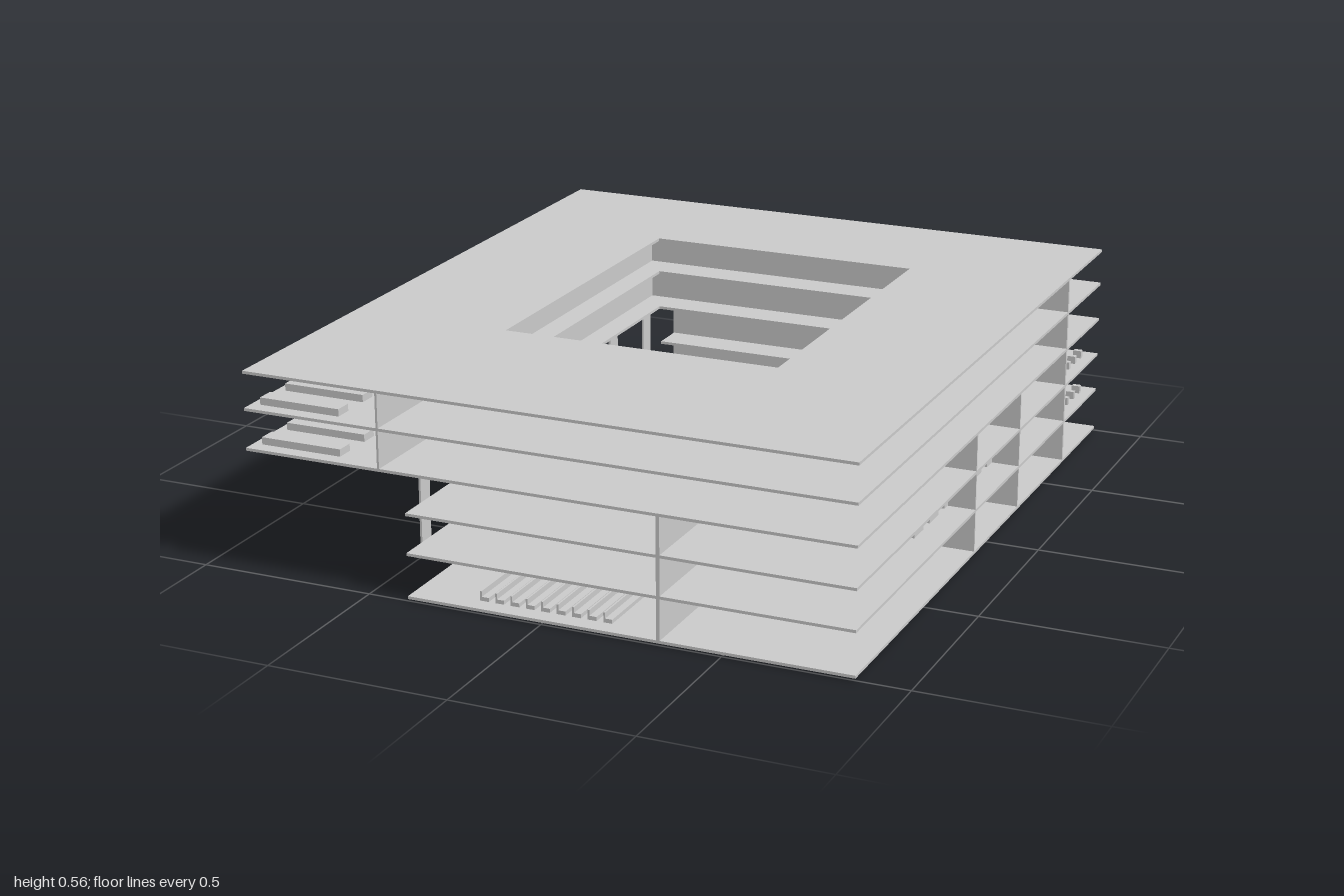
import * as THREE from 'three';

const concrete = new THREE.MeshStandardMaterial({ color: 0xcccccc, side: THREE.DoubleSide });
concrete.name = 'concrete grey';

// Storey levels (top of each slab) and slab thickness
const LEVELS = [0.013, 0.133, 0.243, 0.353, 0.463, 0.565];
const SLAB = 0.008;

function polygon(points) {
  return new THREE.Shape(points.map(([x, y]) => new THREE.Vector2(x, y)));
}

function rect(u0, v0, u1, v1) {
  return polygon([[u0, v0], [u1, v0], [u1, v1], [u0, v1]]);
}

function extrude(shape, depth) {
  return new THREE.ExtrudeGeometry(shape, { depth, bevelEnabled: false });
}

export function createModel() {
  const model = new THREE.Group();
  model.name = 'courtyardBuilding';

  function add(parent, geometry, name) {
    const mesh = new THREE.Mesh(geometry, concrete);
    mesh.name = name;
    parent.add(mesh);
    return mesh;
  }

  function group(name) {
    const g = new THREE.Group();
    g.name = name;
    model.add(g);
    return g;
  }

  // Box given by its lower and upper corners
  function box(parent, name, x0, y0, z0, x1, y1, z1) {
    const mesh = add(parent, new THREE.BoxGeometry(x1 - x0, y1 - y0, z1 - z0), name);
    mesh.position.set((x0 + x1) / 2, (y0 + y1) / 2, (z0 + z1) / 2);
  }

  // Upright wall in the u-y plane with ground-floor door openings
  function wallShape(u0, u1, y0, y1, doors = []) {
    const shape = rect(u0, y0, u1, y1);
    for (const d of doors) shape.holes.push(rect(d - 0.026, 0.014, d + 0.026, 0.073));
    return shape;
  }
  function wallAcross(parent, name, z, x0, x1, y0, y1, t, doors) {
    add(parent, extrude(wallShape(x0, x1, y0, y1, doors), t), name).position.z = z - t / 2;
  }
  function wallAlong(parent, name, x, z0, z1, y0, y1, t, doors) {
    const g = extrude(wallShape(z0, z1, y0, y1, doors), t).rotateY(-Math.PI / 2);
    add(parent, g, name).position.x = x + t / 2;
  }

  // Floor slabs: the lower three are C-shaped, the upper three are full rings
  const floors = group('floors');
  LEVELS.forEach((y, i) => {
    let shape;
    if (i < 3) {
      shape = polygon([[-0.385, -1], [0.855, -1], [0.855, 1], [-0.385, 1],
        [-0.385, 0.415], [0.405, 0.415], [0.405, -0.58], [-0.385, -0.58]]);
    } else {
      shape = rect(-0.855, -1, 0.855, 1);
      shape.holes.push(rect(-0.39, -0.58, 0.405, 0.415));
    }
    add(floors, extrude(shape, SLAB).rotateX(Math.PI / 2), i === 5 ? 'roof' : 'floorSlab').position.y = y;
  });

  // Walls of the two upper storeys
  const low = 0.01, mid = 0.35, high = 0.56;
  const upper = group('upperWalls');
  wallAlong(upper, 'outerGalleryWall', -0.46, -1, 1, mid, high, 0.006);
  wallAlong(upper, 'innerGalleryWall', 0.485, -0.68, 0.53, mid, high, 0.005);
  wallAcross(upper, 'frontGalleryWall', 0.53, -0.46, 0.485, mid, high, 0.005);
  wallAcross(upper, 'backGalleryWall', -0.68, -0.46, 0.855, mid, high, 0.01);

  // Walls of the three lower storeys
  const lower = group('lowerWalls');
  const doorsX = [-0.28, 0.195];
  const doorsZ = [0.445, 0.21, -0.027, -0.263, -0.5];
  wallAcross(lower, 'backWall', -0.68, -0.384, 0.855, low, mid, 0.01, doorsX);
  wallAcross(lower, 'frontWall', 0.53, -0.384, 0.485, low, mid, 0.006, doorsX);
  wallAlong(lower, 'sideWall', 0.485, -0.68, 0.53, low, mid, 0.006, doorsZ);
  wallAlong(lower, 'frontPartition', 0.327, 0.53, 1, low, mid, 0.01);
  for (const z of [0.11, -0.26]) wallAcross(lower, 'sidePartition', z, 0.485, 0.855, low, mid, 0.005);
  for (const x of [0.45, 0.68]) wallAlong(lower, 'backPartition', x, -1, -0.68, low, mid, 0.005);

  // Row of thin fins hanging below the gallery
  const fins = group('hangingFins');
  for (let i = 0; i < 8; i++) {
    const z = 0.763 - i * 0.233;
    box(fins, 'fin', -0.463, 0.07, z - 0.025, -0.457, mid, z + 0.025);
  }

  // Long tables in the overhanging gallery
  const tables = group('galleryTables');
  for (const y of [LEVELS[3], LEVELS[4]]) {
    for (let i = 0; i < 16; i++) {
      const z = -0.94 + i * 0.125;
      box(tables, 'longTable', -0.83, y, z - 0.025, -0.595, y + 0.02, z + 0.025);
    }
  }

  // Desks along the side rooms
  const desks = group('desks');
  for (let i = 0; i < 8; i++) {
    const z = 0.34 - i * 0.118;
    for (const x of [0.588, 0.745]) {
      box(desks, 'desk', x - 0.032, LEVELS[1], z - 0.034, x + 0.032, 0.156, z + 0.034);
    }
  }
  box(desks, 'receptionDesk', -0.33, LEVELS[0], -0.95, -0.28, 0.038, -0.85);

  // Small stools in the back rooms
  const stools = group('stools');
  for (const y of [LEVELS[1], LEVELS[2]]) {
    for (let i = 0; i < 9; i++) {
      for (const z of [-0.765, -0.823, -0.882, -0.94]) {
        const x = 0.3 + i * 0.064;
        box(stools, 'stool', x - 0.012, y, z - 0.008, x + 0.012, y + 0.022, z + 0.008);
      }
    }
  }

  // Auditorium benches with an L-shaped section
  const benches = group('auditoriumBenches');
  const section = polygon([[0, 0.012], [0.025, 0.012], [0.025, 0.024], [0.005, 0.024], [0.005, 0.04], [0, 0.04]]);
  for (let i = 0; i < 9; i++) {
    add(benches, extrude(section, 0.3), 'bench').position.set(-0.2 + i * 0.044, 0, 0.65);
  }

  // Staircase: one straight flight per storey
  const stairs = group('stairs');
  const STEPS = 10, run = 0.036;
  for (let f = 0; f < 4; f++) {
    const rise = (LEVELS[f + 1] - LEVELS[f]) / STEPS;
    const points = [[-0.1, 0]];
    for (let s = 0; s < STEPS; s++) {
      points.push([-0.1 + s * run, (s + 1) * rise], [-0.1 + (s + 1) * run, (s + 1) * rise]);
    }
    points.push([-0.1 + STEPS * run, (STEPS - 1.3) * rise], [-0.06, 0]);
    add(stairs, extrude(polygon(points), 0.095), 'stairFlight').position.set(0, LEVELS[f], -0.962);
  }
  box(stairs, 'stairFooting', -0.1, 0, -0.962, -0.05, 0.006, -0.867);

  return model;
}
